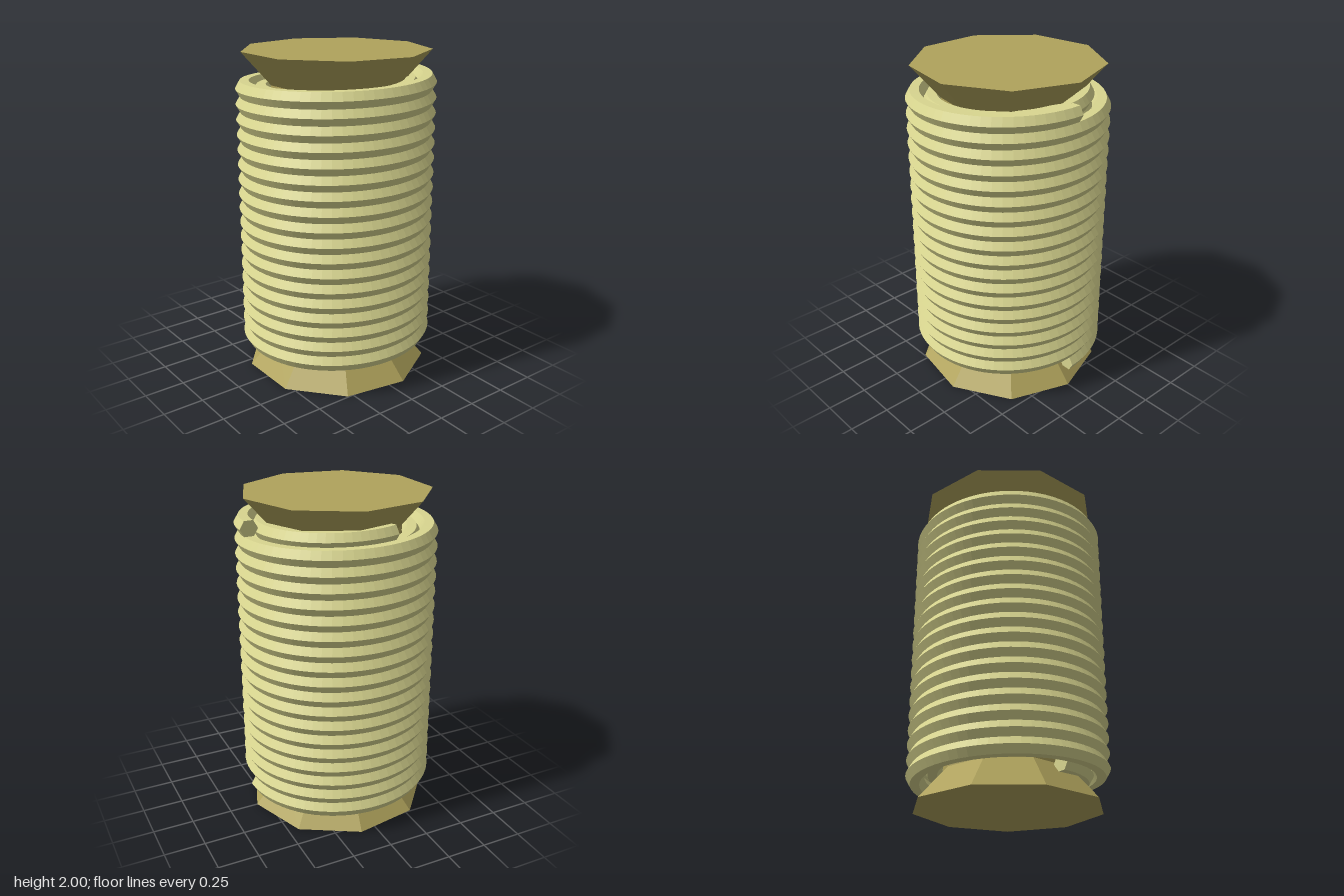
import * as THREE from 'three';

const SIDES = 6, STEPS = 64;

// Helical wire with a hexagonal section and closed ends; angles are in turns from +x
function coil(radius, wire, startTurn, turns, y0, y1) {
  const steps = Math.round(turns * STEPS);
  const pos = [], idx = [];
  for (let i = 0; i <= steps; i++) {
    const t = i / steps;
    const a = (startTurn + t * turns) * Math.PI * 2;
    for (let j = 0; j < SIDES; j++) {
      const p = (j / SIDES) * Math.PI * 2;
      const r = radius + wire * Math.cos(p);
      pos.push(r * Math.cos(a), y0 + (y1 - y0) * t + wire * Math.sin(p), -r * Math.sin(a));
    }
  }
  for (let i = 0; i < steps; i++) {
    for (let j = 0; j < SIDES; j++) {
      const k = (j + 1) % SIDES, a = i * SIDES, b = a + SIDES;
      idx.push(a + j, b + j, b + k, a + j, b + k, a + k);
    }
  }
  // end caps
  const e = steps * SIDES;
  for (let j = 1; j < SIDES - 1; j++) idx.push(0, j, j + 1, e, e + j + 1, e + j);
  const indexed = new THREE.BufferGeometry();
  indexed.setAttribute('position', new THREE.Float32BufferAttribute(pos, 3));
  indexed.setIndex(idx);
  const geo = indexed.toNonIndexed();
  geo.computeVertexNormals();
  return geo;
}

export function createModel() {
  const group = new THREE.Group();
  const spoolMat = new THREE.MeshStandardMaterial({ color: 0xb0a35c, flatShading: true });
  const wireMat = new THREE.MeshStandardMaterial({ color: 0xd8d58f, flatShading: true });

  const add = (name, geo, mat) => {
    const mesh = new THREE.Mesh(geo, mat);
    mesh.name = name;
    group.add(mesh);
  };

  // nine-sided spool: flared ends on a straight core, one corner towards +x
  const profile = [[0, 0], [0.57, 0], [0.395, 0.2], [0.395, 1.8], [0.57, 2], [0, 2]]
    .map(([x, y]) => new THREE.Vector2(x, y));
  add('spool', new THREE.LatheGeometry(profile, 9, Math.PI / 2), spoolMat);

  // two wound layers
  add('outerWinding', coil(0.545, 0.055, 0, 18, 0.167, 1.827), wireMat);
  add('innerWinding', coil(0.445, 0.055, 0.5, 17.8, 0.18, 1.83), wireMat);

  return group;
}
